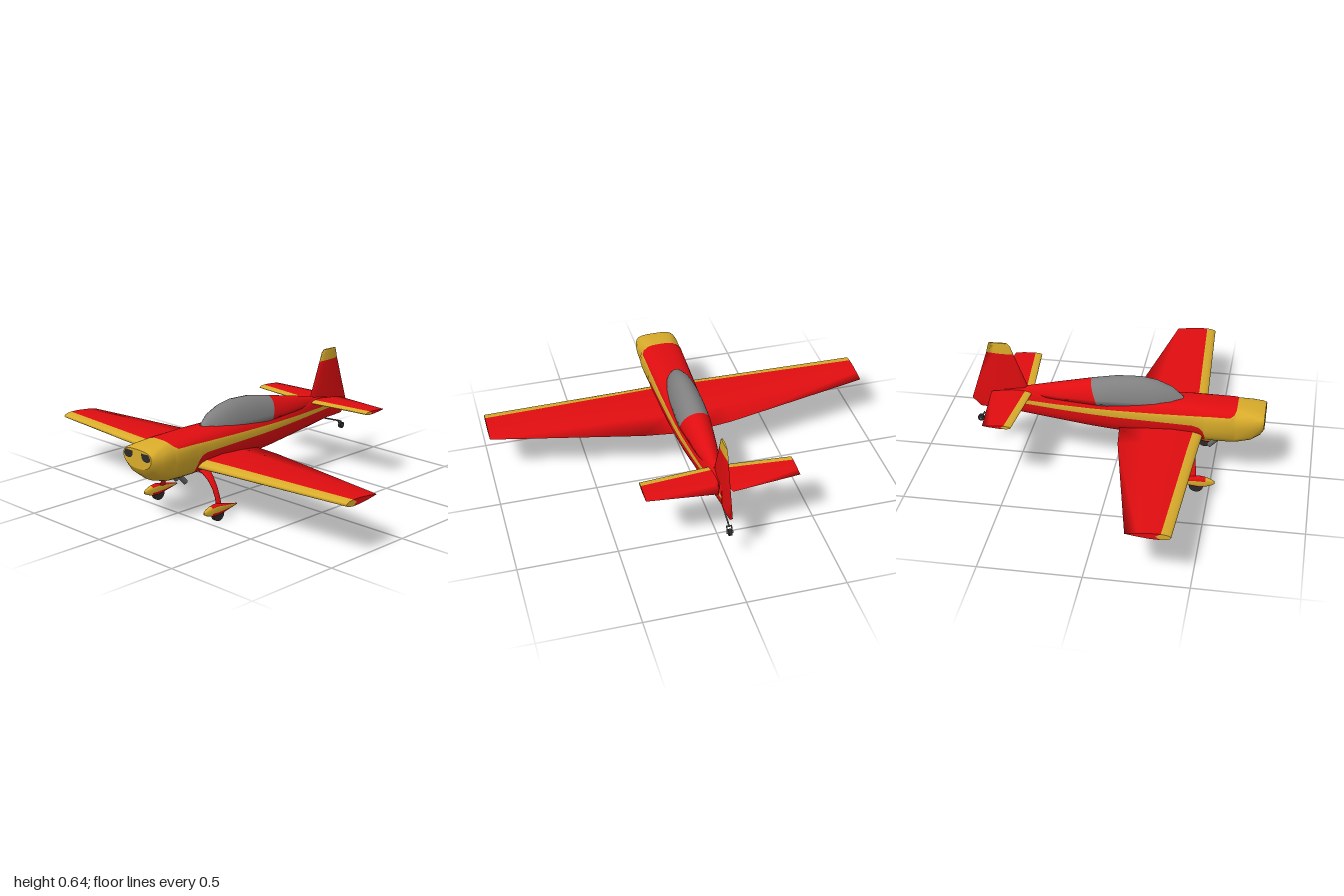
import * as THREE from 'three';

const RED = 0xe00d10, YELLOW = 0xd9ac2b, GLASS = 0x808080, DARK = 0x2a2a2a, METAL = 0x666666;
const mats = {};
const mat = (c) => (mats[c] ??= new THREE.MeshStandardMaterial({ color: c }));
const V = (x, y, z) => new THREE.Vector3(x, y, z);

// Skin closed rings of points; colorOf(i, j) picks the colour of each panel.
function loft(name, rings, colorOf) {
  const n = rings[0].length, pos = [], tris = [];
  rings.forEach((r) => r.forEach((p) => pos.push(p)));
  const add = (c, a, b, d) => tris.push([c, a, b, d]);
  for (let i = 0; i < rings.length - 1; i++)
    for (let j = 0; j < n; j++) {
      const k = (j + 1) % n, a = i * n, b = a + n, c = colorOf(i, j);
      add(c, a + j, a + k, b + k);
      add(c, a + j, b + k, b + j);
    }
  for (const end of [0, rings.length - 1]) {
    const r = rings[end], s = pos.length;
    const mid = r.reduce((m, p) => m.add(p), V(0, 0, 0)).divideScalar(n);
    pos.push(...r, mid);
    for (let j = 0; j < n; j++) {
      const k = (j + 1) % n, c = colorOf(end ? end - 1 : 0, j);
      end ? add(c, s + j, s + k, s + n) : add(c, s + k, s + j, s + n);
    }
  }
  // Turn all faces outward
  const volume = tris.reduce((v, [, a, b, d]) => v + pos[a].dot(pos[b].clone().cross(pos[d])), 0);
  if (volume < 0) tris.forEach((t) => ([t[2], t[3]] = [t[3], t[2]]));
  const whole = new THREE.BufferGeometry().setFromPoints(pos);
  whole.setIndex(tris.flatMap((t) => t.slice(1)));
  whole.computeVertexNormals();
  // One mesh per colour, sharing the smooth normals
  const group = new THREE.Group();
  group.name = name;
  for (const c of new Set(tris.map((t) => t[0]))) {
    const g = new THREE.BufferGeometry();
    g.setAttribute('position', whole.attributes.position);
    g.setAttribute('normal', whole.attributes.normal);
    g.setIndex(tris.filter((t) => t[0] === c).flatMap((t) => t.slice(1)));
    const m = new THREE.Mesh(g, mat(c));
    m.name = name + 'Panel';
    group.add(m);
  }
  return group;
}

// Fuselage ring: belly, side stripe and top deck, mirrored
function bodyRing([z, yb, yt, ym, w, yLow, yHigh]) {
  const angle = (y) => {
    const s = y < ym ? (y - ym) / (ym - yb) : (y - ym) / (yt - ym);
    return Math.sign(s) * Math.asin(Math.min(1, Math.abs(s) ** (s < 0 ? 1.15 : 1.4)));
  };
  const stops = [-Math.PI / 2, angle(yLow), angle(yHigh), Math.PI / 2], half = [];
  [5, 3, 5].forEach((count, b) => {
    for (let k = b ? 1 : 0; k <= count; k++) {
      const t = THREE.MathUtils.lerp(stops[b], stops[b + 1], k / count);
      const e = t < 0 ? 1 / 1.15 : 1 / 1.4, s = Math.abs(Math.sin(t)) ** e;
      const x = w * Math.max(0, Math.cos(t)) ** e;
      half.push(V(x < 1e-5 ? 0 : x, t < 0 ? ym - s * (ym - yb) : ym + s * (yt - ym), z));
    }
  });
  return [...half, ...half.slice(1, -1).reverse().map((p) => V(-p.x, p.y, p.z))];
}

// Airfoil ring: band is the chord fraction of the leading-edge colour
function foil(front, back, thick, band, place) {
  const us = [0, 0.12, 0.45, 1].map((k) => k * band).concat([0.3, 0.65, 1].map((k) => band + (1 - band) * k));
  const h = (u) => 5 * thick * (0.2969 * Math.sqrt(u) - 0.126 * u - 0.3516 * u * u + 0.2843 * u ** 3 - 0.1036 * u ** 4);
  const z = (u) => front + (back - front) * u;
  return [...us.map((u) => place(z(u), h(u))), ...us.slice(1, -1).reverse().map((u) => place(z(u), -h(u)))];
}
const foilColor = (i, j) => (j < 3 || j > 8 ? YELLOW : RED);

// Rounded ring around a centre in the plane of two axes
function oval(n, p, fn) {
  return Array.from({ length: n }, (_, k) => {
    const t = ((k + 0.5) / n) * Math.PI * 2, c = Math.cos(t), s = Math.sin(t);
    return fn(Math.sign(c) * Math.abs(c) ** (2 / p), Math.sign(s) * Math.abs(s) ** (2 / p));
  });
}

function rod(name, a, b, r, color, sides = 12) {
  const m = new THREE.Mesh(new THREE.CylinderGeometry(r, r, a.distanceTo(b), sides), mat(color));
  m.position.copy(a).lerp(b, 0.5);
  m.quaternion.setFromUnitVectors(V(0, 1, 0), b.clone().sub(a).normalize());
  m.name = name;
  return m;
}

export function createModel() {
  const plane = new THREE.Group();
  plane.name = 'aeroplane';

  // Fuselage: z, bottom, top, widest height, half width, stripe low, stripe high
  const body = [
    [0.755, 0.29, 0.385, 0.35, 0.1, 0.315, 0.37],
    [0.735, 0.255, 0.391, 0.345, 0.109, 0.3, 0.372],
    [0.69, 0.22, 0.397, 0.337, 0.114, 0.27, 0.385],
    [0.615, 0.198, 0.405, 0.33, 0.115, 0.25, 0.399],
    [0.605, 0.197, 0.405, 0.33, 0.115, 0.25, 0.385],
    [0.585, 0.195, 0.406, 0.33, 0.115, 0.25, 0.373],
    [0.46, 0.193, 0.41, 0.327, 0.11, 0.25, 0.37],
    [0.45, 0.193, 0.41, 0.327, 0.11, 0.285, 0.369],
    [0.43, 0.193, 0.411, 0.326, 0.109, 0.305, 0.368],
    [0.4, 0.194, 0.412, 0.325, 0.108, 0.314, 0.367],
    [0.2, 0.198, 0.411, 0.322, 0.102, 0.316, 0.36],
    [0, 0.206, 0.405, 0.32, 0.093, 0.316, 0.354],
    [-0.13, 0.216, 0.4, 0.32, 0.083, 0.317, 0.35],
    [-0.3, 0.232, 0.4, 0.322, 0.061, 0.317, 0.344],
    [-0.46, 0.248, 0.398, 0.326, 0.037, 0.318, 0.34],
    [-0.61, 0.264, 0.385, 0.33, 0.014, 0.318, 0.335],
  ];
  plane.add(loft('fuselage', body.map(bodyRing), (i, j) => {
    const k = j < 13 ? j : 25 - j;
    if (k < 5) return i < 6 ? YELLOW : RED;
    return k < 8 || i < 3 ? YELLOW : RED;
  }));

  // Canopy and rear deck: z, half width, top, lean of the ring
  const dome = [
    [0.34, 0.022, 0.416, 0], [0.28, 0.054, 0.465, 0], [0.205, 0.071, 0.495, 0],
    [0.125, 0.079, 0.508, 0], [0, 0.082, 0.502, 0], [-0.09, 0.081, 0.476, 0.04],
    [-0.3, 0.057, 0.439, 0], [-0.47, 0.024, 0.403, 0],
  ];
  plane.add(loft('canopy', dome.map(([z, w, top, lean]) =>
    Array.from({ length: 15 }, (_, k) => {
      const t = (k / 14) * Math.PI, s = Math.sin(t);
      return V(w * Math.cos(t), 0.37 + (top - 0.37) * s, z - lean * s);
    })), (i) => (i < 5 ? GLASS : RED)));

  // Main wing: x, front, back, height, thickness
  const span = (list) => [...list.map(([x, ...r]) => [-x, ...r]), ...list.slice().reverse()];
  const wing = span([[1, 0.407, 0.195, 0.27, 0.032], [0.235, 0.441, 0.042, 0.252, 0.058], [0.08, 0.45, 0.025, 0.248, 0.064]]);
  plane.add(loft('wing', wing.map(([x, f, b, y, t]) =>
    foil(f, b, t, 0.047 / (f - b), (z, h) => V(x, y + h, z))), foilColor));

  // Tailplane, notched for the rudder
  const tail = span([[0.38, -0.465, -0.608, 0.38, 0.017], [0.035, -0.435, -0.643, 0.377, 0.02], [0.006, -0.432, -0.55, 0.377, 0.02]]);
  plane.add(loft('tailplane', tail.map(([x, f, b, y, t]) =>
    foil(f, b, t, 0.036 / (f - b), (z, h) => V(x, y + h, z))), foilColor));

  // Fin and rudder: height, front, back, thickness
  const fin = [
    [0.265, -0.56, -0.71, 0.016], [0.31, -0.53, -0.755, 0.022], [0.4, -0.458, -0.727, 0.025],
    [0.582, -0.53, -0.67, 0.017], [0.625, -0.546, -0.66, 0.014], [0.64, -0.56, -0.654, 0.01],
  ];
  plane.add(loft('fin', fin.map(([y, f, b, t]) =>
    foil(f, b, t, 0.25, (z, h) => V(h, y, z))), (i) => (i > 2 ? YELLOW : RED)));

  for (const s of [1, -1]) {
    // Sprung leg: x, y, front z, back z
    const leg = [[0.05, 0.215, 0.425, 0.34], [0.09, 0.208, 0.422, 0.362], [0.13, 0.185, 0.424, 0.38],
      [0.165, 0.153, 0.428, 0.392], [0.19, 0.115, 0.433, 0.4], [0.205, 0.07, 0.438, 0.402]];
    plane.add(loft('landingLeg', leg.map(([x, y, f, b]) => oval(8, 2, (c, d) =>
      V(s * (x + 0.003 * d), y + 0.004 * d, (f + b) / 2 + ((f - b) / 2) * c))), () => RED));

    // Wheel fairing: z, centre height, half height, half width
    const pant = [[0.53, 0.058, 0.006, 0.004], [0.515, 0.058, 0.015, 0.01], [0.485, 0.058, 0.025, 0.016],
      [0.45, 0.059, 0.029, 0.018], [0.4, 0.057, 0.021, 0.015], [0.31, 0.055, 0.003, 0.003]];
    plane.add(loft('wheelFairing', pant.map(([z, y, h, w]) => oval(16, 3, (c, d) =>
      V(s * 0.215 + w * c, y + h * d, z))), (i, j) => (i < 2 || [0, 7, 8, 15].includes(j) ? YELLOW : RED)));
    plane.add(rod('wheel', V(s * 0.215 - 0.009, 0.036, 0.438), V(s * 0.215 + 0.009, 0.036, 0.438), 0.036, DARK, 24));

    // Exhaust pipe
    plane.add(rod('exhaust', V(s * 0.032, 0.215, 0.53), V(s * 0.032, 0.162, 0.478), 0.013, METAL));

    // Cooling inlet in the nose
    const inlet = new THREE.Shape();
    inlet.moveTo(s * 0.03, 0.372);
    inlet.lineTo(s * 0.078, 0.374);
    inlet.quadraticCurveTo(s * 0.096, 0.365, s * 0.091, 0.345);
    inlet.quadraticCurveTo(s * 0.075, 0.328, s * 0.045, 0.338);
    inlet.quadraticCurveTo(s * 0.03, 0.345, s * 0.03, 0.372);
    const hole = new THREE.Mesh(new THREE.ShapeGeometry(inlet), mat(DARK));
    hole.position.z = 0.7565;
    hole.name = 'coolingInlet';
    plane.add(hole);

    // Tailwheel fork
    plane.add(rod('tailFork', V(s * 0.012, 0.218, -0.7), V(s * 0.012, 0.192, -0.715), 0.003, METAL, 8));
  }

  // Tailwheel and its strut
  plane.add(rod('tailStrut', V(0, 0.265, -0.56), V(0, 0.218, -0.7), 0.004, METAL, 8));
  plane.add(rod('forkBar', V(-0.014, 0.218, -0.7), V(0.014, 0.218, -0.7), 0.004, METAL, 8));
  plane.add(rod('tailWheel', V(-0.008, 0.192, -0.715), V(0.008, 0.192, -0.715), 0.017, DARK, 20));
  plane.add(rod('tailHub', V(-0.016, 0.192, -0.715), V(0.016, 0.192, -0.715), 0.007, METAL, 12));
  return plane;
}
